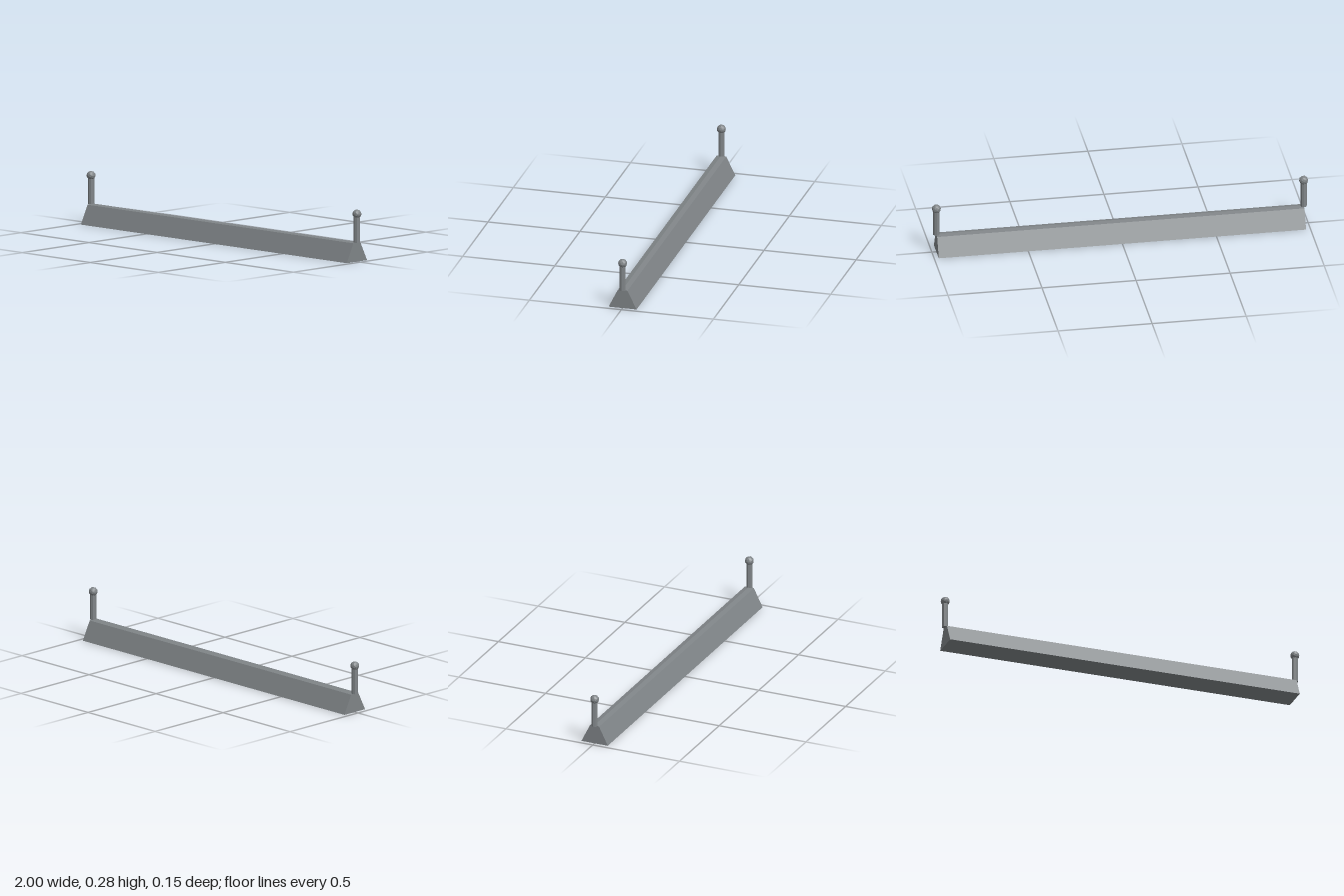
import * as THREE from 'three';

export function createModel() {
  const model = new THREE.Group();
  model.name = 'kerbBarrier';
  const grey = new THREE.MeshStandardMaterial({ color: 0x7f8487, flatShading: true });
  grey.name = 'steel grey';

  const endX = 0.976; // half length of the beam, also the post position

  const add = (geometry, name, x, y) => {
    const mesh = new THREE.Mesh(geometry, grey);
    mesh.name = name;
    mesh.position.set(x, y, 0);
    model.add(mesh);
    return mesh;
  };

  // Long tapered beam with a very shallow ridge along its top
  const profile = new THREE.Shape(
    [[-0.076, 0], [0.076, 0], [0.026, 0.1], [0, 0.105], [-0.026, 0.1]]
      .map(([z, y]) => new THREE.Vector2(z, y))
  );
  const beam = new THREE.ExtrudeGeometry(profile, { depth: endX * 2, bevelEnabled: false });
  beam.translate(0, 0, -endX);
  beam.rotateY(Math.PI / 2);
  add(beam, 'beam', 0, 0);

  // Post with a faceted ball on each end
  const postGeometry = new THREE.CylinderGeometry(0.017, 0.017, 0.14, 8);
  const ballGeometry = new THREE.IcosahedronGeometry(0.024, 1);
  for (const [side, x] of [['left', endX], ['right', -endX]]) {
    add(postGeometry, side + 'Post', x, 0.172);
    add(ballGeometry, side + 'Ball', x, 0.253);
  }
  return model;
}
